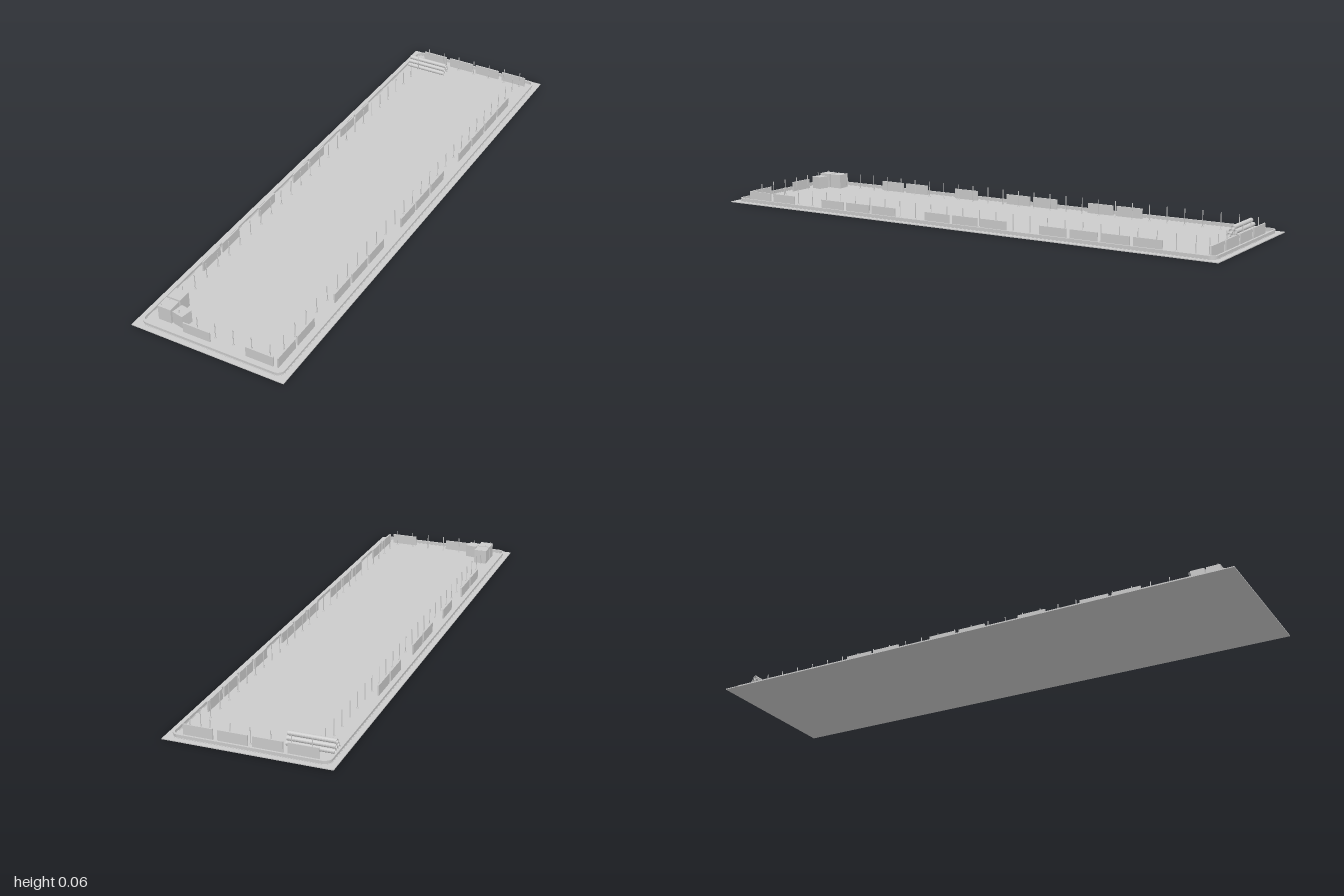
import * as THREE from 'three';

const FLOOR = 0.003;
const PITCH = 0.1165; // spacing of the perimeter panels
const POST_STEP = 0.0676;

const mat = new THREE.MeshStandardMaterial({ color: 0xcccccc });
const sheet = new THREE.MeshStandardMaterial({ color: 0xcccccc, side: THREE.DoubleSide });

function add(parent, name, geometry, x = 0, y = 0, z = 0, material = mat) {
  const mesh = new THREE.Mesh(geometry, material);
  mesh.name = name;
  mesh.position.set(x, y, z);
  parent.add(mesh);
  return mesh;
}

function roundedRect(target, w, d, r) {
  target.moveTo(-w + r, -d);
  target.lineTo(w - r, -d);
  target.absarc(w - r, -d + r, r, -Math.PI / 2, 0);
  target.lineTo(w, d - r);
  target.absarc(w - r, d - r, r, 0, Math.PI / 2);
  target.lineTo(-w + r, d);
  target.absarc(-w + r, d - r, r, Math.PI / 2, Math.PI);
  target.lineTo(-w, -d + r);
  target.absarc(-w + r, -d + r, r, Math.PI, Math.PI * 1.5);
  return target;
}

// Closed rounded ring lying on the ground plane
function ring(w, d, r, thickness, height) {
  const shape = roundedRect(new THREE.Shape(), w, d, r);
  shape.holes.push(roundedRect(new THREE.Path(), w - thickness, d - thickness, r - thickness));
  return new THREE.ExtrudeGeometry(shape, { depth: height, bevelEnabled: false, curveSegments: 8 })
    .rotateX(-Math.PI / 2);
}

export function createModel() {
  const model = new THREE.Group();
  model.name = 'fencedYard';

  // Ground slab
  add(model, 'ground', new THREE.BoxGeometry(0.566, FLOOR, 2), 0, FLOOR / 2, 0);

  // Low perimeter wall with a foot and a cap rail
  add(model, 'lowWall', ring(0.262, 0.98, 0.025, 0.003, 0.011), 0, FLOOR, 0);
  add(model, 'wallFoot', ring(0.264, 0.982, 0.027, 0.007, 0.001), 0, FLOOR, 0);
  add(model, 'wallCap', ring(0.264, 0.982, 0.027, 0.007, 0.002), 0, 0.0135, 0);

  // Barrier panels, some slots left empty
  const panels = new THREE.Group();
  panels.name = 'barrierPanels';
  model.add(panels);
  const top = 0.04;
  const h = top - FLOOR;
  const alongZ = new THREE.BoxGeometry(0.005, h, 0.103);
  const alongX = new THREE.BoxGeometry(0.101, h, 0.005);
  const py = FLOOR + h / 2;
  for (const k of [0, 1, 2, 3, 5, 6, 7, 9, 10, 11, 13, 14])
    add(panels, 'leftPanel', alongZ, 0.231, py, -0.735 + PITCH * k);
  for (const k of [0, 1, 3, 4, 6, 8, 9])
    add(panels, 'rightPanel', alongZ, -0.235, py, -0.435 + PITCH * k);
  for (const k of [0, 1, 2, 3])
    add(panels, 'backPanel', alongX, -0.168 + PITCH * k, py, -0.953);
  for (const k of [0, 2])
    add(panels, 'frontPanel', alongX, -0.067 + PITCH * k, py, 0.948);

  // Thin posts on small feet
  const posts = new THREE.Group();
  posts.name = 'posts';
  model.add(posts);
  const poleGeo = new THREE.CylinderGeometry(0.0016, 0.0016, 0.06, 8);
  const footGeo = new THREE.CylinderGeometry(0.0025, 0.004, 0.005, 8);
  const post = (x, z) => {
    add(posts, 'post', poleGeo, x, FLOOR + 0.03, z);
    add(posts, 'postFoot', footGeo, x, FLOOR + 0.0025, z);
  };
  for (let i = 0; i < 7; i++) {
    post(-0.215 + POST_STEP * i, 0.925);
    post(-0.192 + POST_STEP * i, -0.94);
  }
  for (let i = 0; i < 27; i++) {
    post(0.204, -0.89 + POST_STEP * i);
    post(-0.205, -0.867 + POST_STEP * i);
  }

  // Pyramid of pipes: three, two, one
  const pipes = new THREE.Group();
  pipes.name = 'pipeStack';
  model.add(pipes);
  const r = 0.0078;
  const outline = new THREE.Shape().absarc(0, 0, r, 0, Math.PI * 2);
  outline.holes.push(new THREE.Path().absarc(0, 0, r * 0.8, 0, Math.PI * 2));
  const pipeGeo = new THREE.ExtrudeGeometry(outline, { depth: 0.16, bevelEnabled: false, curveSegments: 16 })
    .translate(0, 0, -0.08).rotateY(Math.PI / 2);
  for (let row = 0; row < 3; row++)
    for (let i = 0; i < 3 - row; i++)
      add(pipes, 'pipe', pipeGeo, -0.172, FLOOR + r + row * r * Math.sqrt(3),
        -0.89 + (i - (2 - row) / 2) * 2 * r, sheet);

  // Crates in the front corner
  const crates = new THREE.Group();
  crates.name = 'crates';
  model.add(crates);
  for (const z of [0.857, 0.911])
    add(crates, 'crate', new THREE.BoxGeometry(0.049, 0.054, 0.048), -0.198, FLOOR + 0.027, z);
  add(crates, 'turnedCrate', new THREE.BoxGeometry(0.043, 0.047, 0.043), -0.145, FLOOR + 0.0235, 0.913)
    .rotation.y = -0.19;

  return model;
}
